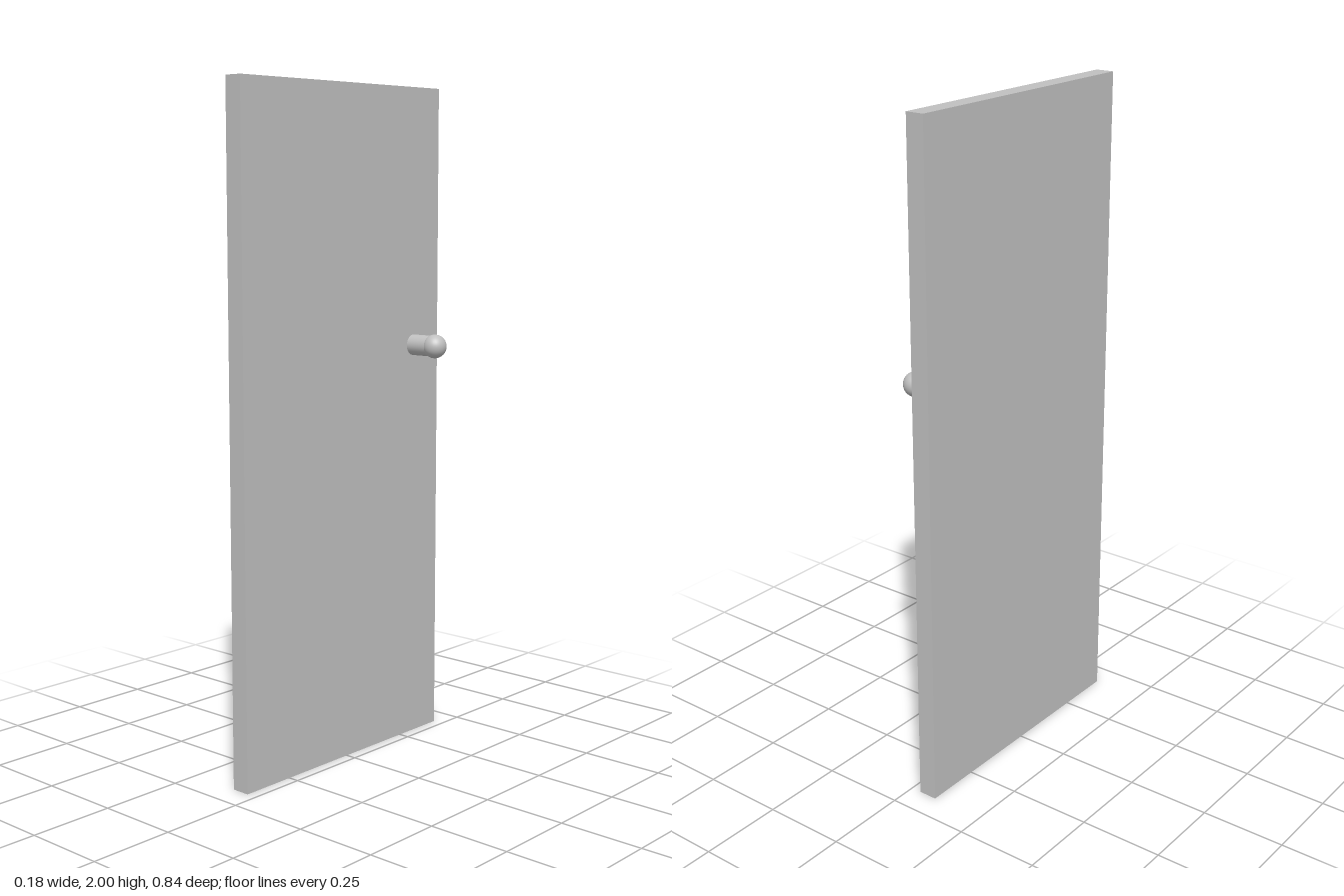
import * as THREE from 'three';

export function createModel() {
  const model = new THREE.Group();
  model.name = 'door';
  const lightGrey = new THREE.MeshStandardMaterial({ color: 0xc0c0c0 });
  lightGrey.name = 'lightGrey';

  const add = (name, geometry, x, y, z) => {
    const mesh = new THREE.Mesh(geometry, lightGrey);
    mesh.name = name;
    mesh.position.set(x, y, z);
    model.add(mesh);
    return mesh;
  };

  // Plain door slab, its broad faces towards -x and +x
  add('doorPanel', new THREE.BoxGeometry(0.056, 2, 0.842), -0.06, 1, 0);

  // Handle on the +x face: a round stem ending in a ball
  const handleY = 1.228, handleZ = -0.306;
  const stem = add('handleStem', new THREE.CylinderGeometry(0.0315, 0.0315, 0.073, 32), 0, handleY, handleZ);
  stem.rotation.z = -Math.PI / 2;
  add('handleKnob', new THREE.SphereGeometry(0.036, 32, 20), 0.052, handleY, handleZ);

  return model;
}
